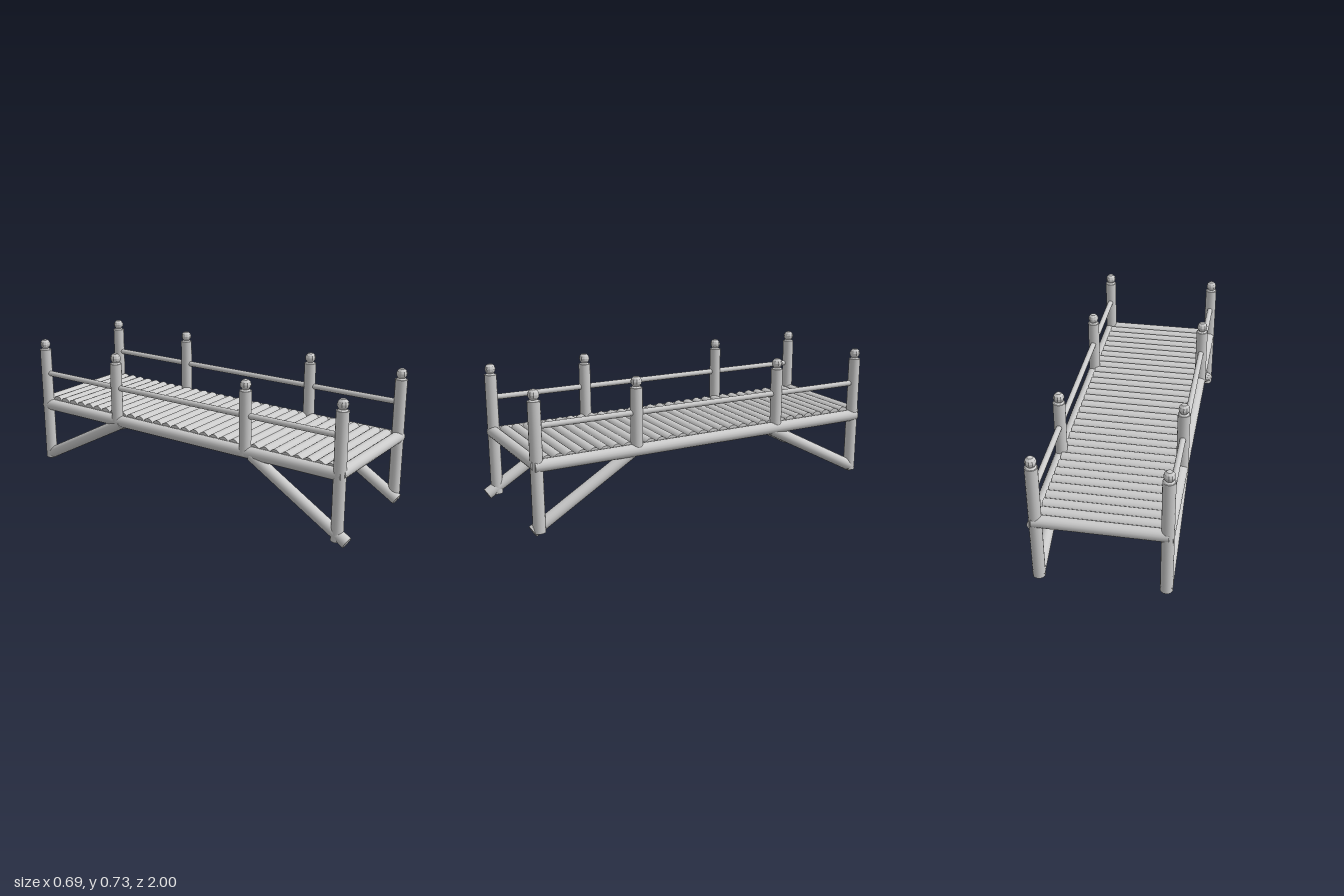
import * as THREE from 'three';

const material = new THREE.MeshStandardMaterial({ color: 0xcccccc });
const knobMaterial = new THREE.MeshStandardMaterial({ color: 0xcccccc, flatShading: true });
const R = 0.031; // radius of the heavy logs

// Round log running between two points
function log(name, from, to, radius = R, sides = 16) {
  const a = new THREE.Vector3(...from);
  const b = new THREE.Vector3(...to);
  const dir = b.clone().sub(a);
  const mesh = new THREE.Mesh(new THREE.CylinderGeometry(radius, radius, dir.length(), sides), material);
  mesh.name = name;
  mesh.position.copy(a).add(b).multiplyScalar(0.5);
  mesh.quaternion.setFromUnitVectors(new THREE.Vector3(0, 1, 0), dir.normalize());
  return mesh;
}

// Upright post with a short neck and a faceted ball on top
function post(name, x, z, bottom) {
  const group = new THREE.Group();
  group.name = name;
  group.add(log('postShaft', [x, bottom, z], [x, 0.675, z]));
  const profile = [
    [0, 0.673], [0.028, 0.674], [0.018, 0.682], [0.026, 0.694], [0.028, 0.706],
    [0.024, 0.719], [0.014, 0.729], [0, 0.73],
  ].map(([r, y]) => new THREE.Vector2(r, y));
  const knob = new THREE.Mesh(new THREE.LatheGeometry(profile, 10), knobMaterial);
  knob.name = 'postKnob';
  knob.position.set(x, 0, z);
  group.add(knob);
  return group;
}

export function createModel() {
  const bridge = new THREE.Group();
  bridge.name = 'logFootbridge';
  const front = 0.928, back = -0.962;

  for (const side of [-1, 1]) {
    const x = side < 0 ? -0.312 : 0.305;

    // Tall corner posts and shorter middle posts standing on the beam
    for (const z of [front, back]) bridge.add(post('cornerPost', x, z, 0.03));
    for (const z of [0.402, -0.433]) bridge.add(post('middlePost', x, z, 0.35));

    // Slightly sloping side beam and handrail
    bridge.add(log('sideBeam', [side * 0.311, 0.363, 0.945], [side * 0.311, 0.35, -0.98]));
    bridge.add(log('handrail', [x, 0.554, front], [x, 0.537, back], 0.015, 12));

    // Diagonal braces from the feet of the corner posts up to the beam
    const fx = side < 0 ? -0.312 : 0.289;
    const fz = side < 0 ? 0.982 : 0.955;
    bridge.add(log('frontBrace', [fx, 0.031, fz], [fx, 0.35, fz - 0.54]));
    bridge.add(log('backBrace', [x, 0.045, -0.972], [x, 0.345, -0.405]));
  }

  // End logs reach across the posts; deck logs lie between the beams
  const count = 31;
  for (let i = 0; i <= count; i++) {
    const isEnd = i === 0 || i === count;
    const z = THREE.MathUtils.lerp(0.932, -0.967, i / count);
    const left = isEnd ? 0.32 : 0.295;
    bridge.add(log(isEnd ? 'endLog' : 'deckLog', [-left, 0.37, z], [left, 0.37, z]));
  }

  return bridge;
}
